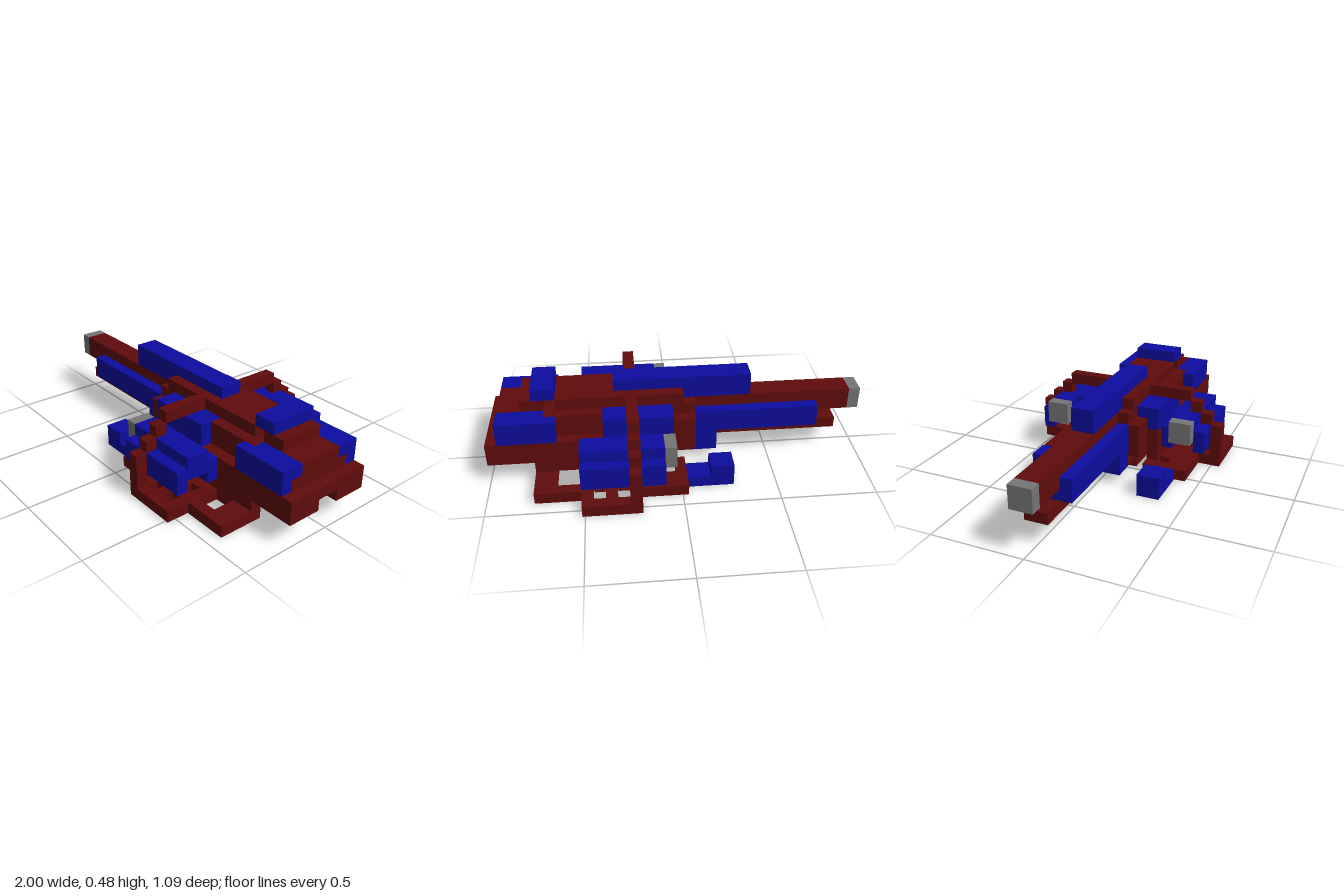
import * as THREE from 'three';

const U = 2 / 33; // one block

export function createModel() {
  const group = new THREE.Group();
  const mat = (name, color) => {
    const m = new THREE.MeshStandardMaterial({ color });
    m.name = name;
    return m;
  };
  const red = mat('dark red', 0x600c0c);
  const blue = mat('blue', 0x0c0c9e);
  const grey = mat('grey', 0x757575);

  // block-unit ranges: x 0..33 along the hull, y 0..8, z -9..9
  const box = (name, m, x0, x1, y0, y1, z0, z1) => {
    const mesh = new THREE.Mesh(new THREE.BoxGeometry((x1 - x0) * U, (y1 - y0) * U, (z1 - z0) * U), m);
    mesh.position.set(((x0 + x1) / 2 - 16.5) * U, ((y0 + y1) / 2) * U, ((z0 + z1) / 2) * U);
    mesh.name = name;
    group.add(mesh);
  };
  const mid = (name, m, x0, x1, y0, y1, z) => box(name, m, x0, x1, y0, y1, -z, z);
  const pair = (name, m, x0, x1, y0, y1, z0, z1) => {
    box(name + 'Left', m, x0, x1, y0, y1, z0, z1);
    box(name + 'Right', m, x0, x1, y0, y1, -z1, -z0);
  };

  // long gun and its housing
  mid('muzzle', grey, 0, 1, 4, 6, 1);
  mid('barrel', red, 1, 16, 4, 6, 1);
  mid('lowerBarrel', red, 2, 13, 2, 3, 1);
  mid('barrelSleeve', blue, 4, 13, 3, 5, 2);
  mid('barrelMount', blue, 13, 15, 1, 5, 2);
  mid('topCannon', blue, 10, 22, 6, 8, 1);

  // hull
  mid('hullNose', red, 15, 17, 2, 5, 3);
  mid('hull', red, 17, 32, 2, 4, 4);
  mid('hullBelly', red, 15, 30, 1, 2, 2);
  mid('upperHull', red, 17, 32, 4, 5, 3);
  mid('hullSpine', red, 15, 32, 4, 6, 2);
  mid('midDeck', red, 23, 28, 5, 6, 3);
  mid('topDeck', red, 16, 27, 6, 7, 2);
  mid('rearDeck', red, 28, 30, 6, 7, 2);
  mid('rearCap', blue, 27, 29, 7, 8, 2);

  // tail wall with a recessed vent
  mid('tailTop', red, 32, 33, 3, 4, 4);
  pair('tailSide', red, 32, 33, 2, 3, 1, 4);

  // blue shoulder armour
  pair('shoulderTop', blue, 17, 23, 5, 6, 2, 4);
  pair('shoulderSide', blue, 17, 23, 4, 5, 3, 4);
  pair('rearArmourSide', blue, 27, 32, 4, 6, 3, 4);
  pair('rearArmourTop', blue, 28, 32, 5, 6, 2, 3);

  // side engines
  pair('engineRoot', blue, 18, 25, 2, 4, 4, 5);
  pair('engineBody', blue, 18, 25, 3, 5, 5, 7);
  pair('engineShell', blue, 18, 25, 2, 4, 7, 8);
  pair('engineNozzle', grey, 17, 18, 3, 5, 5, 7);

  // stepped arch over the hull
  mid('archTop', red, 20, 21, 6, 7, 6);
  pair('archUpper', red, 20, 21, 5, 6, 6, 7);
  pair('archMiddle', red, 20, 21, 4, 5, 7, 8);
  pair('archLeg', red, 20, 21, 1, 4, 8, 9);

  // front pods
  pair('podHead', blue, 12, 14, 0, 2, 4, 6);
  pair('podArm', blue, 14, 16, 0, 1, 4, 6);

  // pierced base plates, rails and keel
  const trace = (path, pts) => path.setFromPoints(pts.map(([x, z]) => new THREE.Vector2((x - 16.5) * U, z * U)));
  for (const s of [1, -1]) {
    const shape = trace(new THREE.Shape(),
      [[16, 3], [29, 3], [29, 7], [25, 7], [25, 9], [20, 9], [20, 7], [16, 7]].map(([x, z]) => [x, s * z]));
    const holes = [[25, 27, 4, 6], [17, 18, 4, 5], [21, 22, 5, 6], [23, 24, 5, 6], [21, 22, 7, 8], [23, 24, 7, 8]];
    for (const [a, b, c, d] of holes) {
      shape.holes.push(trace(new THREE.Path(), [[a, s * c], [b, s * c], [b, s * d], [a, s * d]]));
    }
    const geo = new THREE.ExtrudeGeometry(shape, { depth: U, bevelEnabled: false });
    geo.rotateX(Math.PI / 2).translate(0, U, 0);
    const plate = new THREE.Mesh(geo, red);
    plate.name = s > 0 ? 'basePlateLeft' : 'basePlateRight';
    group.add(plate);
  }
  pair('baseRail', red, 17, 29, 1, 2, 3, 4);
  pair('keelStrut', red, 20, 25, 0, 1, 2, 3);
  mid('keel', red, 17, 27, 0, 1, 2);

  return group;
}
